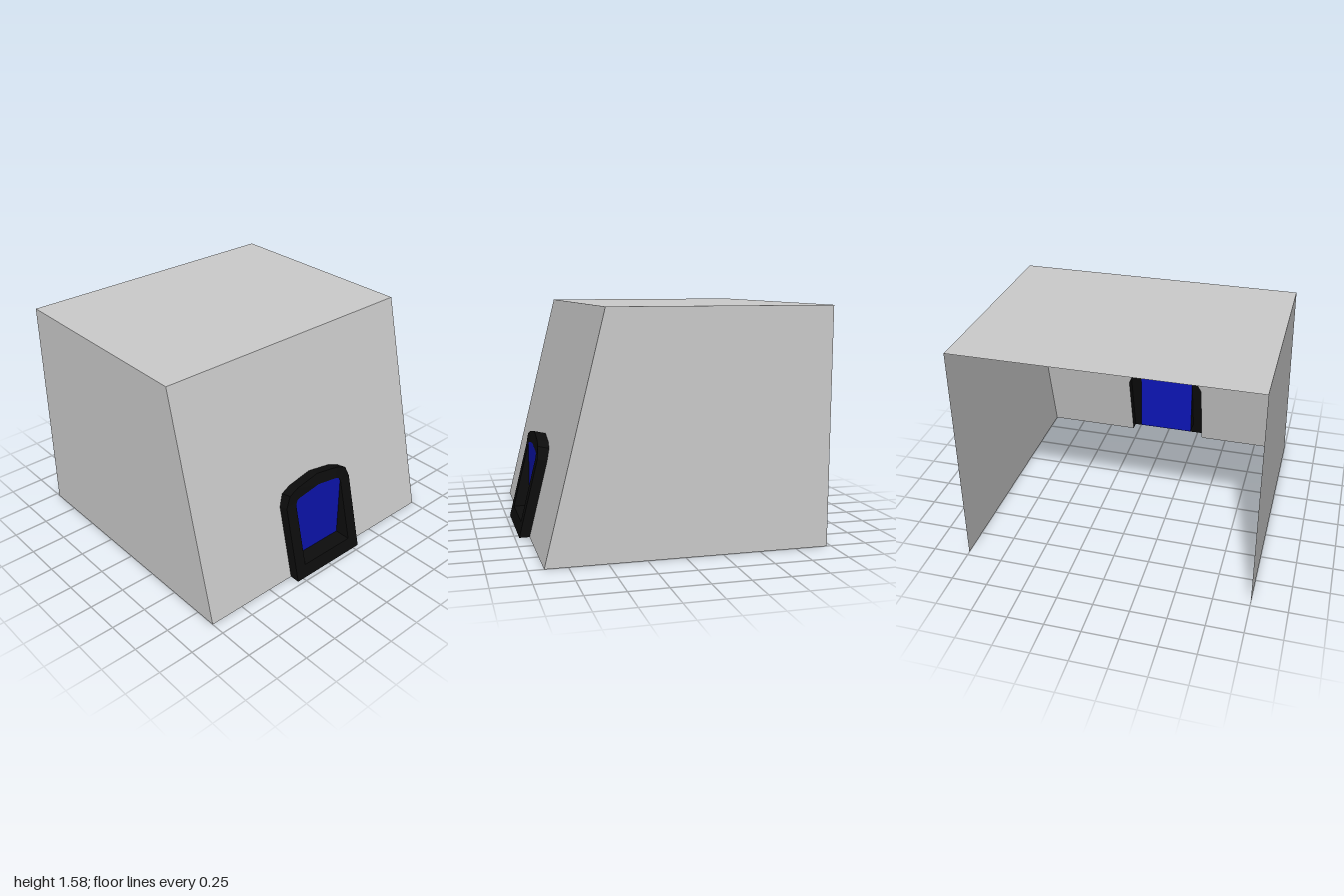
import * as THREE from 'three';

const H = 1.58, BACK = -0.97;
const wallX = (y) => 0.9 - 0.247 * y; // leaning entrance wall
const PANEL_X = 0.833;

const material = (color) =>
  new THREE.MeshStandardMaterial({ color, flatShading: true, side: THREE.DoubleSide });

// Mirror a half outline [z, y, x] into a full one, bottom right round to bottom left
const mirror = (half) => [
  ...half,
  ...half.slice(0, -1).reverse().map(([z, y, x]) => [-z, y, x]),
];

// Flat outline facing +x, each point placed at depth x = depth(y)
function facing(points, depth) {
  const shape = new THREE.Shape(points.map(([z, y]) => new THREE.Vector2(-z, y)));
  const geometry = new THREE.ShapeGeometry(shape);
  const p = geometry.attributes.position;
  for (let i = 0; i < p.count; i++) {
    const X = p.getX(i), y = p.getY(i);
    p.setXYZ(i, depth(y), y, -X);
  }
  geometry.computeVertexNormals();
  return geometry;
}

// Strip of quads between two outlines of equal length
function strip(a, b, closed) {
  const pos = [];
  const put = ([z, y, x]) => pos.push(x, y, z);
  const n = a.length;
  for (let i = 0; i < (closed ? n : n - 1); i++) {
    const j = (i + 1) % n;
    [a[i], a[j], b[j], a[i], b[j], b[i]].forEach(put);
  }
  const geometry = new THREE.BufferGeometry();
  geometry.setAttribute('position', new THREE.Float32BufferAttribute(pos, 3));
  geometry.computeVertexNormals();
  return geometry;
}

export function createModel() {
  const model = new THREE.Group();
  const grey = material(0xcccccc);
  const black = material(0x0d0d0d);
  const blue = material(0x0c14b4);
  const add = (name, geometry, mat, parent = model) => {
    const mesh = new THREE.Mesh(geometry, mat);
    mesh.name = name;
    parent.add(mesh);
    return mesh;
  };

  // Door outlines: outer front edge, where it meets the wall, and the opening
  const outer = mirror([
    [0.3, 0, 0.97], [0.3, 0.54, 0.837], [0.265, 0.62, 0.828],
    [0.19, 0.65, 0.822], [0, 0.68, 0.815],
  ]);
  const atWall = outer.map(([z, y]) => {
    const low = Math.max(0, y - 0.018);
    return [z, low, wallX(low)];
  });
  const inner = mirror([
    [0.215, 0.09], [0.215, 0.53], [0.2, 0.56], [0.17, 0.572], [0, 0.6],
  ].map(([z, y]) => [z, y, Math.max(PANEL_X, 0.97 - 0.247 * y)]));
  const recess = inner.map(([z, y]) => [z, y, PANEL_X]);

  // Shell: open at the back end and underneath
  const side = new THREE.Shape([
    new THREE.Vector2(BACK, 0), new THREE.Vector2(wallX(0), 0),
    new THREE.Vector2(wallX(H), H), new THREE.Vector2(BACK, H),
  ]);
  for (const s of [1, -1]) {
    const wall = add(s > 0 ? 'frontSideWall' : 'backSideWall', new THREE.ShapeGeometry(side), grey);
    wall.position.z = s;
    if (s < 0) {
      // turn the far wall outward
      const index = wall.geometry.index;
      index.array.reverse();
      wall.geometry.computeVertexNormals();
    }
  }

  const roofLength = wallX(H) - BACK;
  const roof = add('roof', new THREE.PlaneGeometry(roofLength, 2).rotateX(-Math.PI / 2), grey);
  roof.position.set(BACK + roofLength / 2, H, 0);

  // Entrance wall, cut away behind the door frame
  const wallOutline = [[1, 0], ...atWall, [-1, 0], [-1, H], [1, H]];
  add('entranceWall', facing(wallOutline, wallX), grey);

  // Door: leaning frame around an upright panel
  const door = new THREE.Group();
  door.name = 'door';
  model.add(door);
  add('frameFace', strip(outer, inner, true), black, door);
  add('frameEdge', strip(atWall, outer, false), black, door);
  add('frameReveal', strip(inner, recess, true), black, door);
  add('doorPanel', facing(inner, () => PANEL_X), blue, door);

  return model;
}
